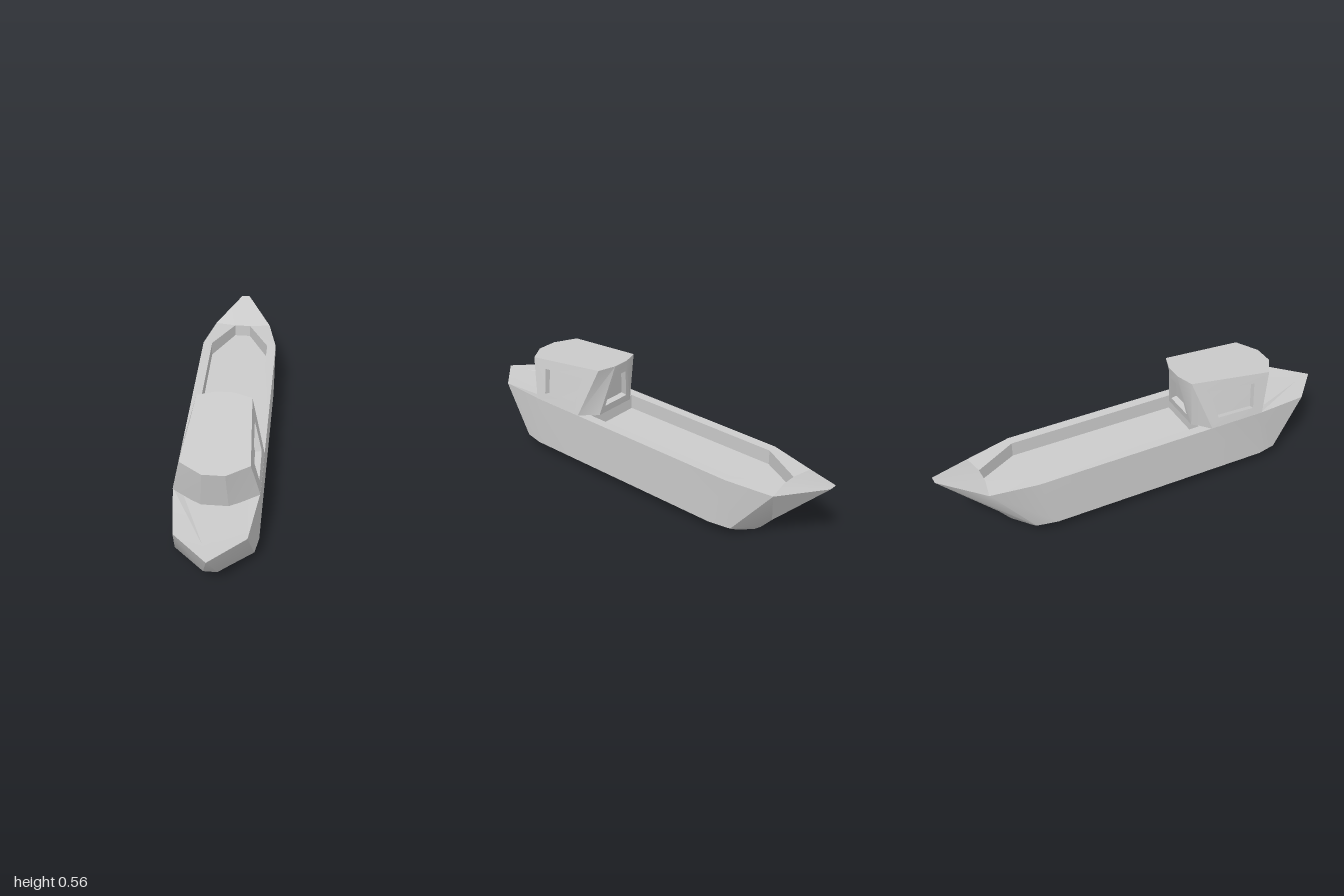
import * as THREE from 'three';
import { toCreasedNormals } from 'three/addons/utils/BufferGeometryUtils.js';

const material = new THREE.MeshStandardMaterial({ color: 0xcccccc, side: THREE.DoubleSide });
const flip = ([x, y, z]) => [-x, y, z];

// Collects triangles and quads, then turns them into a named mesh
function surface(name, crease = 0.55) {
  const pos = [];
  const tri = (a, b, c) => {
    const u = new THREE.Vector3(...b).sub(new THREE.Vector3(...a));
    const v = new THREE.Vector3(...c).sub(new THREE.Vector3(...a));
    if (u.cross(v).length() > 1e-7) pos.push(...a, ...b, ...c);
  };
  const quad = (a, b, c, d) => { tri(a, b, c); tri(a, c, d); };
  // The same face on both sides of the boat
  const pair = (a, b, c, d) => {
    quad(a, b, c, d);
    quad(flip(d), flip(c), flip(b), flip(a));
  };
  const mesh = () => {
    const g = new THREE.BufferGeometry();
    g.setAttribute('position', new THREE.Float32BufferAttribute(pos, 3));
    const m = new THREE.Mesh(toCreasedNormals(g, crease), material);
    m.name = name;
    return m;
  };
  return { quad, pair, mesh };
}

// Half sections from bow to stern: sheer, chine, bilge, keel
const sections = [
  [[0, 0.295, 1], [0.03, 0.1, 0.86], [0.04, 0.05, 0.8], [0.035, 0.015, 0.76]],
  [[0.155, 0.295, 0.85], [0.175, 0.06, 0.69], [0.12, 0.03, 0.69], [0.045, 0.012, 0.7]],
  [[0.19, 0.31, 0.58], [0.19, 0.055, 0.6], [0.14, 0.03, 0.6], [0.045, 0.01, 0.6]],
  [[0.19, 0.31, 0.26], [0.19, 0.055, 0.26], [0.14, 0.03, 0.26], [0.045, 0.004, 0.26]],
  [[0.19, 0.308, -0.58], [0.19, 0.055, -0.5], [0.14, 0.03, -0.52], [0.045, 0, -0.55]],
  [[0.145, 0.295, -0.8], [0.165, 0.05, -0.6], [0.12, 0.025, -0.61], [0.045, 0, -0.62]],
  [[0.02, 0.355, -1], [0.03, 0.085, -0.73], [0.04, 0.03, -0.68], [0.035, 0, -0.645]],
];

function buildHull() {
  const s = surface('hull', 0.6);
  for (let i = 0; i < 6; i++) {
    const a = sections[i], b = sections[i + 1];
    for (let k = 0; k < 3; k++) s.pair(a[k], a[k + 1], b[k + 1], b[k]);
    s.quad(a[3], flip(a[3]), flip(b[3]), b[3]);
  }
  // Narrow stem and stern faces
  const bow = sections[0], stern = sections[6];
  for (let k = 0; k < 3; k++) {
    s.quad(bow[k + 1], bow[k], flip(bow[k]), flip(bow[k + 1]));
    s.quad(stern[k], stern[k + 1], flip(stern[k + 1]), flip(stern[k]));
  }
  return s.mesh();
}

function buildDeck() {
  const s = surface('deckAndWell', 0.2);
  const sheer = sections.map((p) => p[0]);
  // Inner deck line: foredeck dip first, then the rim of the open well
  const inner = [
    [0, 0.295, 0.99], [0.025, 0.292, 0.9], [0.14, 0.297, 0.61],
    [0.145, 0.309, 0.26], [0.145, 0.307, -0.58], [0.04, 0.298, -0.78],
  ];
  for (let i = 0; i < 5; i++) {
    s.pair(sheer[i], sheer[i + 1], inner[i + 1], inner[i]);
    if (i < 3) s.quad(inner[i], inner[i + 1], flip(inner[i + 1]), flip(inner[i]));
  }
  // Raised stern deck
  s.pair(sheer[5], sheer[6], inner[5], inner[5]);
  s.quad(inner[5], sheer[6], flip(sheer[6]), flip(inner[5]));
  // Well walls and floor
  const floor = inner.map(([x, , z]) => [x, 0.235, z]);
  for (let i = 3; i < 5; i++) {
    s.pair(inner[i], inner[i + 1], floor[i + 1], floor[i]);
    s.quad(floor[i], floor[i + 1], flip(floor[i + 1]), flip(floor[i]));
  }
  s.quad(inner[5], flip(inner[5]), flip(floor[5]), floor[5]);
  s.quad(flip(inner[3]), inner[3], floor[3], flip(floor[3]));
  return s.mesh();
}

function buildCabin() {
  const group = new THREE.Group();
  group.name = 'cabin';
  const walls = surface('cabinWalls', 0.5);
  const panes = surface('windowPanes', 0.1);
  const roof = surface('cabinRoof', 0.1);

  const mirrorLoop = (half) => [...half, ...half.map(flip).reverse()];
  const base = mirrorLoop([
    [0.06, 0.29, 0.66], [0.19, 0.309, 0.59], [0.19, 0.309, 0.31], [0.11, 0.305, 0.24],
  ]);
  const top = mirrorLoop([[0.05, 0.705], [0.15, 0.64], [0.125, 0.225], [0.04, 0.195]]
    .map(([x, z]) => [x, 0.5 + (0.705 - z) * 0.109, z]));

  // A wall with a recessed window given in wall fractions
  function windowWall(c, [u0, u1, v0, v1], depth = 0.03) {
    const p = c.map((q) => new THREE.Vector3(...q));
    const at = (u, v) => p[0].clone().lerp(p[1], u).lerp(p[3].clone().lerp(p[2], u), v);
    const inward = p[2].clone().sub(p[0]).cross(p[3].clone().sub(p[1]))
      .normalize().multiplyScalar(-depth);
    const hole = [at(u0, v0), at(u1, v0), at(u1, v1), at(u0, v1)];
    const rim = hole.map((q) => q.toArray());
    const back = hole.map((q) => q.clone().add(inward).toArray());
    for (let i = 0; i < 4; i++) {
      const j = (i + 1) % 4;
      walls.quad(c[i], c[j], rim[j], rim[i]);
      walls.quad(rim[i], rim[j], back[j], back[i]);
    }
    panes.quad(...back);
  }

  // Windows sit in both sides and in the rear wall
  const windows = {
    1: [0.19, 0.82, 0.19, 0.78],
    3: [0.12, 0.88, 0.16, 0.76],
    5: [0.18, 0.81, 0.19, 0.78],
  };
  for (let i = 0; i < 8; i++) {
    const j = (i + 1) % 8;
    const corners = [base[i], base[j], top[j], top[i]];
    if (windows[i]) windowWall(corners, windows[i]);
    else walls.quad(...corners);
  }
  for (let i = 0; i < 3; i++) {
    roof.quad(top[i], top[i + 1], flip(top[i + 1]), flip(top[i]));
    walls.quad(base[i + 1], base[i], flip(base[i]), flip(base[i + 1]));
  }
  group.add(walls.mesh(), panes.mesh(), roof.mesh());
  return group;
}

export function createModel() {
  const boat = new THREE.Group();
  boat.name = 'boat';
  boat.add(buildHull(), buildDeck(), buildCabin());
  return boat;
}
